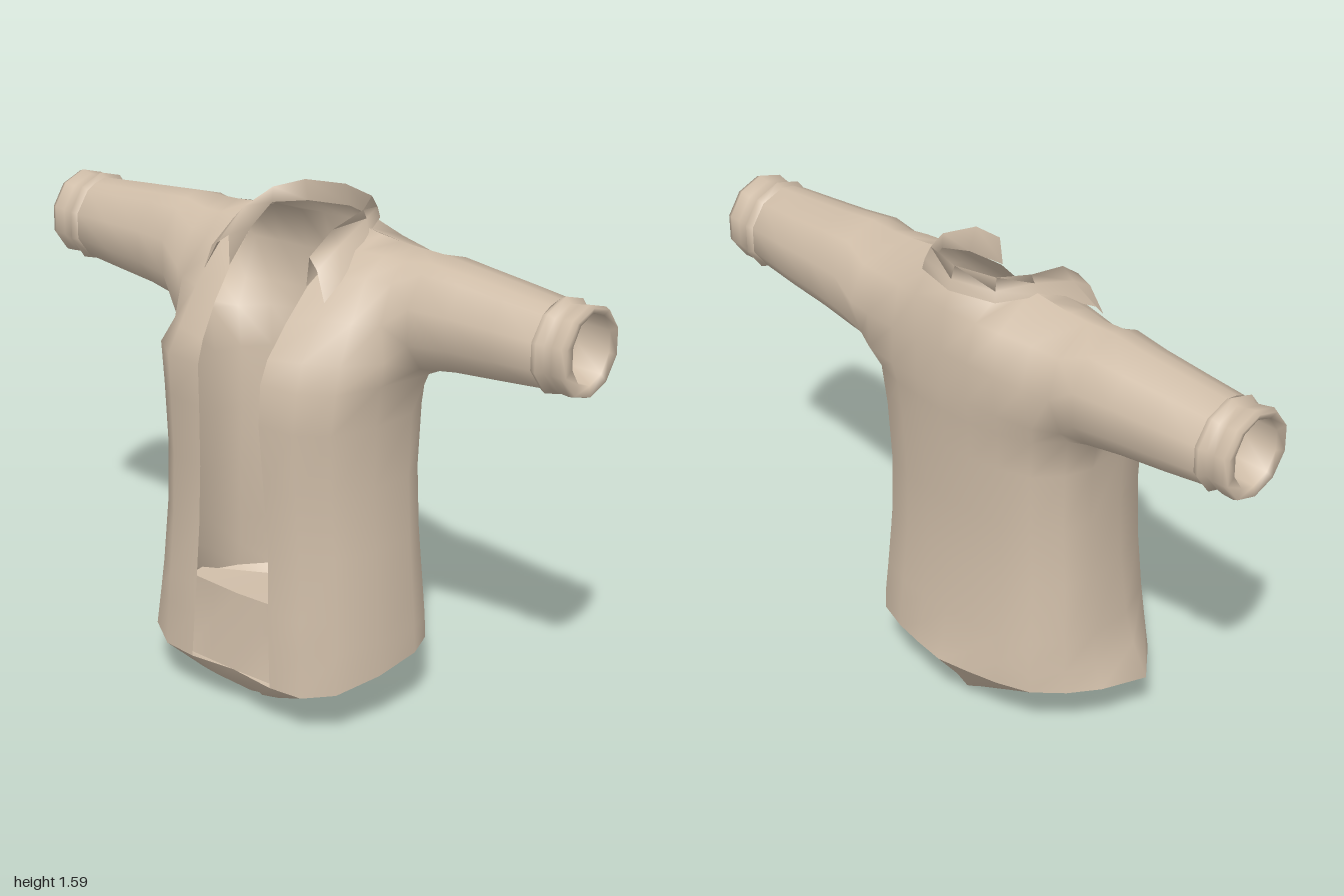
import * as THREE from 'three';
import { mergeGeometries, mergeVertices } from 'three/addons/utils/BufferGeometryUtils.js';

const cloth = new THREE.MeshStandardMaterial({ color: 0xcfbda8, side: THREE.DoubleSide });
cloth.name = 'beige cloth';

// Surface through rows of points
function grid(rows) {
  const n = rows[0].length, index = [];
  for (let r = 0; r < rows.length - 1; r++) {
    for (let c = 0; c < n - 1; c++) {
      const a = r * n + c, b = a + 1, d = a + n, e = d + 1;
      index.push(a, b, e, a, e, d);
    }
  }
  const g = new THREE.BufferGeometry();
  g.setAttribute('position', new THREE.Float32BufferAttribute(rows.flat(2), 3));
  g.setIndex(index);
  return g;
}

const mirror = rows => rows.map(r => r.map(([x, y, z]) => [-x, y, z]).reverse());

// Weld several grids into one smooth mesh
function clothMesh(name, grids) {
  const g = mergeVertices(mergeGeometries(grids.map(grid)), 1e-4);
  g.computeVertexNormals();
  const m = new THREE.Mesh(g, cloth);
  m.name = name;
  return m;
}

// Half a horizontal torso section, from the front opening round to the centre back;
// flare pulls the side points outwards
function section(y, w, zf, zb, o, flare = 0) {
  const front = [[0, 1], [0.45, 0.97], [0.77, 0.76], [0.96, 0.3]];
  const back = [[1, 0.22], [0.92, 0.54], [0.75, 0.81], [0.5, 0.93], [0.25, 0.975], [0, 1]];
  const pull = [0, 0, 0.25, 1, 0.4, 0.1, 0, 0, 0, 0];
  return [
    ...front.map(([f, k]) => [o + (w - o) * f, y, zf * k]),
    ...back.map(([f, k]) => [w * f, y, zb * k]),
  ].map(([x, h, z], i) => [x + flare * pull[i], h, z]);
}

// Hem dips to the front and comes to a soft ridge at the centre back
const hem = flare => section(0.21, 0.42, 0.315, -0.315, 0.16, flare).map(([x, y, z]) =>
  z > 0 ? [x, y - 0.18 * z, z] : [x, y - 0.06 * z, z * (1 - 0.07 * Math.min(1, x / 0.25))]);

// Section at the armpit
const chest = section(1.13, 0.41, 0.307, -0.28, 0.123);
chest[4] = [0.435, 1.13, -0.085];

const torso = flare => [
  hem(flare),
  section(0.3, 0.415, 0.31, -0.293, 0.152, flare * 0.45),
  section(0.4, 0.41, 0.305, -0.28, 0.147, flare * 0.15),
  section(0.6, 0.397, 0.295, -0.26, 0.14),
  section(0.8, 0.387, 0.3, -0.26, 0.127),
  section(1.0, 0.394, 0.31, -0.27, 0.118),
  chest,
];

// Yokes above the armpit, up to the shoulder seam and neckline
const frontYoke = [
  chest.slice(0, 4),
  [[0.127, 1.2, 0.28], [0.24, 1.21, 0.26], [0.325, 1.2, 0.19], [0.4, 1.2, 0.085]],
  [[0.14, 1.3, 0.21], [0.24, 1.32, 0.185], [0.33, 1.32, 0.15], [0.4, 1.32, 0.1]],
  [[0.15, 1.39, 0.13], [0.23, 1.42, 0.09], [0.31, 1.43, 0.06], [0.39, 1.43, 0.04]],
  [[0.17, 1.475, 0.015], [0.24, 1.485, 0], [0.32, 1.485, -0.01], [0.39, 1.48, -0.02]],
  [[0.18, 1.525, -0.09], [0.25, 1.515, -0.09], [0.32, 1.508, -0.09], [0.39, 1.505, -0.09]],
];
const backYoke = [
  chest.slice(5),
  [[0.405, 1.2, -0.215], [0.33, 1.2, -0.255], [0.21, 1.2, -0.275], [0.1, 1.2, -0.283], [0, 1.2, -0.285]],
  [[0.4, 1.33, -0.26], [0.31, 1.33, -0.275], [0.2, 1.33, -0.28], [0.1, 1.33, -0.282], [0, 1.33, -0.282]],
  [[0.39, 1.44, -0.21], [0.3, 1.45, -0.23], [0.2, 1.46, -0.25], [0.12, 1.465, -0.262], [0, 1.465, -0.265]],
  [[0.39, 1.505, -0.09], [0.32, 1.508, -0.09], [0.18, 1.525, -0.09], [0.13, 1.515, -0.2], [0, 1.515, -0.24]],
];

// Sleeve ring from its x and its y and z limits, starting below and running to the front
function ring(x, y0, y1, zf, zb) {
  const pts = [];
  for (let i = 0; i <= 10; i++) {
    const a = (i % 10) * Math.PI / 5;
    pts.push([x, (y0 + y1) / 2 - (y1 - y0) / 2 * Math.cos(a), (zf + zb) / 2 + (zf - zb) / 2 * Math.sin(a)]);
  }
  return pts.reverse();
}
const armhole = [
  chest[4],
  ...[0, 1, 2, 3, 4, 5].map(r => frontYoke[r][3]),
  ...[3, 2, 1, 0].map(r => backYoke[r][0]),
  chest[4],
];
// The front has one more armhole point than the back, so its rings gain one point
const fit = r => {
  const p = [...r].reverse();
  const mid = p[4].map((v, k) => (v + p[5][k]) / 2);
  mid[1] += 0.004;
  mid[2] += 0.004;
  return [...p.slice(0, 5), mid, ...p.slice(5)].reverse();
};
const wrist = ring(0.885, 1.2, 1.465, 0.052, -0.217);
const sleeve = [
  [...armhole].reverse(),
  fit(ring(0.48, 1.15, 1.505, 0.088, -0.258)),
  fit(ring(0.6, 1.17, 1.492, 0.07, -0.245)),
  fit(ring(0.75, 1.185, 1.478, 0.06, -0.232)),
  fit(wrist),
];
// Cuff with a raised seam, a groove and a turned-in lining
const cuff = [
  wrist,
  ring(0.905, 1.188, 1.477, 0.06, -0.227),
  ring(0.922, 1.205, 1.46, 0.044, -0.21),
  ring(0.95, 1.2, 1.465, 0.047, -0.215),
  ring(0.985, 1.198, 1.472, 0.052, -0.217),
  ring(1.0, 1.203, 1.465, 0.045, -0.212),
  ring(0.995, 1.235, 1.448, 0.008, -0.178),
  ring(0.89, 1.235, 1.448, 0.008, -0.178),
];

// Collar: stand, crest and folded wing
const collar = [
  [[0.15, 1.39, 0.135], [0.17, 1.475, 0.015], [0.18, 1.525, -0.09], [0.13, 1.515, -0.2], [0, 1.515, -0.24]],
  [[0.157, 1.48, 0.13], [0.172, 1.545, 0.045], [0.176, 1.574, -0.09], [0.13, 1.585, -0.185], [0, 1.588, -0.22]],
  [[0.195, 1.45, 0.14], [0.205, 1.505, 0.055], [0.188, 1.55, -0.09], [0.14, 1.55, -0.2], [0, 1.55, -0.235]],
  [[0.235, 1.365, 0.155], [0.253, 1.42, 0.1], [0.212, 1.512, -0.07], [0.145, 1.517, -0.207], [0, 1.518, -0.246]],
];

// Underside: closed loop of the hem, tucked up at the legs and drawn in to a low keel
const rightFlare = 0.09;
const rim = [...hem(0), ...mirror([hem(rightFlare)])[0].slice(1)];
rim.push([0, 0.155, 0.3], rim[0]);
const shrink = (kx, kf, kb, y, slope, tuck) => rim.map(([x, , z]) => [
  x * kx,
  Math.max(0, y - slope * z) + tuck * Math.max(0, 1 - Math.abs(z) / 0.2),
  z * (z > 0 ? kf : kb),
]);
const underside = [
  shrink(0, 0.43, 0.5, 0.02, 0.065, 0),
  shrink(0.14, 0.62, 0.6, 0.04, 0.03, 0.02),
  shrink(0.55, 0.88, 0.74, 0.11, 0.04, 0.055),
  rim,
];

// Inner front panel behind the opening, with a small ledge on top
const xs = [-0.2, -0.1, 0, 0.1, 0.2];
const panelRow = (y, z, bulge) => xs.map(x => [x, y, z + bulge * (1 - Math.abs(x) / 0.2)]);
const panel = [panelRow(0.155, 0.295, 0.005), panelRow(0.29, 0.268, 0.025), panelRow(0.41, 0.272, 0.01)];
const ledge = [panel[2], xs.map(x => [x, 0.413, 0.11 + 0.55 * Math.abs(x)])];

export function createModel() {
  const group = new THREE.Group();
  group.name = 'openShirt';
  const half = [frontYoke, backYoke, sleeve];
  group.add(
    clothMesh('bodyAndSleeves', [torso(0), ...half, mirror(torso(rightFlare)), ...half.map(mirror)]),
    clothMesh('leftCuff', [cuff]),
    clothMesh('rightCuff', [mirror(cuff)]),
    clothMesh('collar', [collar, mirror(collar)]),
    clothMesh('underside', [underside]),
    clothMesh('innerPanel', [panel]),
    clothMesh('innerLedge', [ledge]),
  );
  return group;
}
